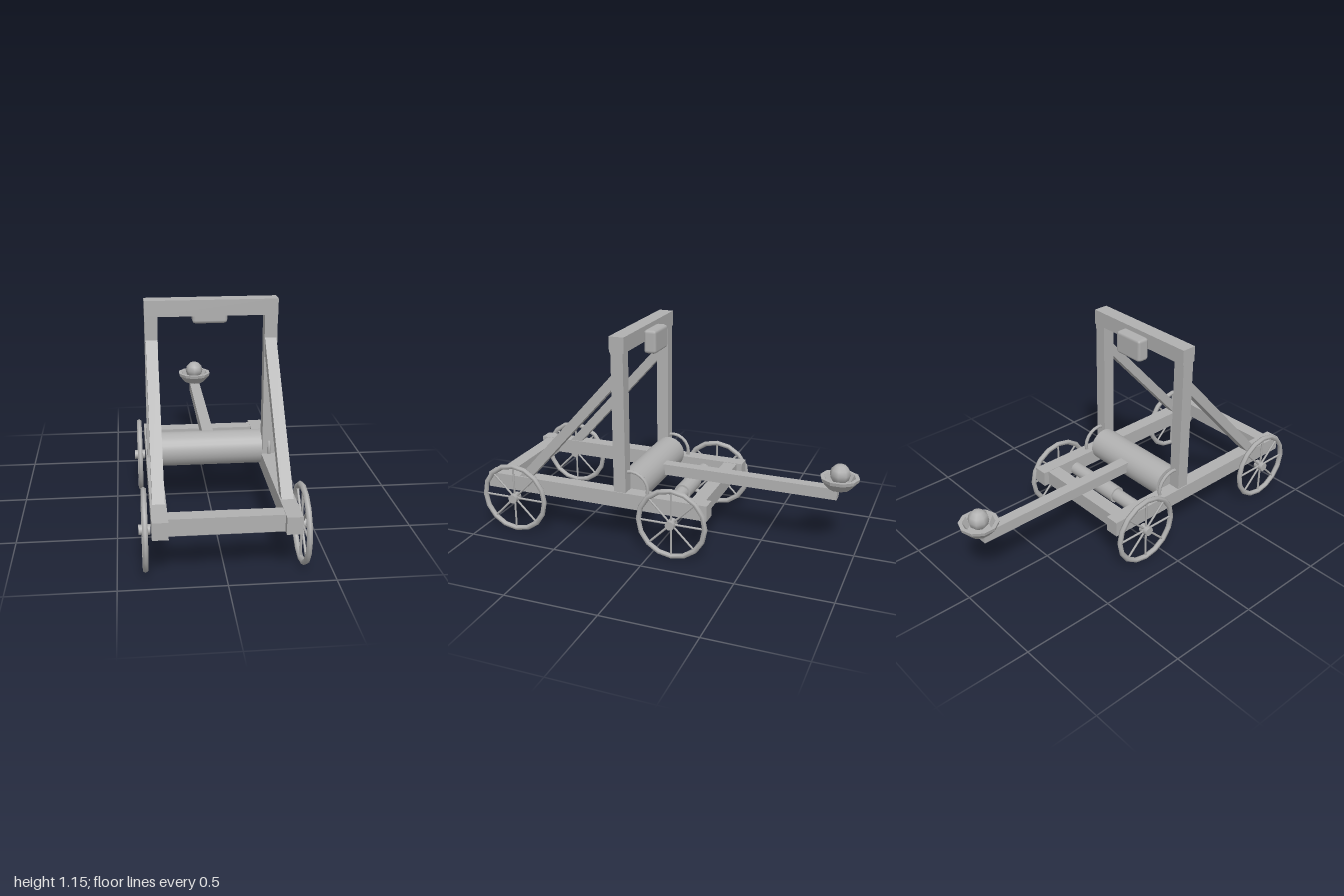
import * as THREE from 'three';
import { RoundedBoxGeometry } from 'three/addons/geometries/RoundedBoxGeometry.js';

export function createModel() {
  const model = new THREE.Group();
  model.name = 'catapult';
  const grey = new THREE.MeshStandardMaterial({ color: 0xb0b0b0 });
  grey.name = 'grey';

  const add = (name, geometry, parent = model, x = 0, y = 0, z = 0) => {
    const mesh = new THREE.Mesh(geometry, grey);
    mesh.name = name;
    mesh.position.set(x, y, z);
    parent.add(mesh);
    return mesh;
  };
  // Box given by its minimum and maximum on each axis
  const beam = (name, x0, x1, y0, y1, z0, z1) =>
    add(name, new THREE.BoxGeometry(x1 - x0, y1 - y0, z1 - z0), model,
      (x0 + x1) / 2, (y0 + y1) / 2, (z0 + z1) / 2);
  // Cylinder lying along x
  const roller = (name, r, length, sides, parent, x, y, z) =>
    add(name, new THREE.CylinderGeometry(r, r, length, sides).rotateZ(Math.PI / 2), parent, x, y, z);

  // Base frame
  beam('frontCrossbeam', -0.268, 0.268, 0.23, 0.313, 0.865, 0.94);
  beam('rearCrossbeam', -0.268, 0.268, 0.23, 0.313, -0.27, -0.195);
  beam('topBeam', -0.336, 0.336, 1.065, 1.147, 0.144, 0.224);

  // Diagonal brace profile, drawn in (-z, y) and extruded along x
  const brace = new THREE.Shape([[-0.79, 0.31], [-0.72, 0.31], [-0.215, 0.873], [-0.215, 0.948]]
    .map(([x, y]) => new THREE.Vector2(x, y)));

  for (const side of [-1, 1]) {
    const label = side > 0 ? 'left' : 'right';
    const span = (a, b) => (side > 0 ? [a, b] : [-b, -a]);
    beam(label + 'Rail', ...span(0.265, 0.34), 0.23, 0.315, -0.3, 0.975);
    beam(label + 'Post', ...span(0.27, 0.335), 0.315, 1.066, 0.15, 0.217);
    add(label + 'Brace',
      new THREE.ExtrudeGeometry(brace, { depth: 0.058, bevelEnabled: false })
        .translate(0, 0, -0.029).rotateY(Math.PI / 2), model, side * 0.301);
    // Ring around the post at the end of the drum
    add(label + 'DrumRing', new THREE.TorusGeometry(0.093, 0.01, 6, 20).rotateY(Math.PI / 2),
      model, side * 0.305, 0.335, 0.13);
  }

  // Drum and winch
  roller('drum', 0.09, 0.536, 24, model, 0, 0.33, 0.14);
  roller('winch', 0.036, 0.536, 16, model, 0, 0.251, -0.073);
  roller('winchSleeve', 0.046, 0.176, 16, model, 0, 0.251, -0.073);

  // Throwing arm, cup and ball
  beam('arm', -0.03, 0.03, 0.315, 0.375, -0.895, 0.1);
  const cup = [[0, 0.375], [0.06, 0.375], [0.098, 0.418], [0.102, 0.436],
    [0.082, 0.436], [0.058, 0.392], [0, 0.392]].map(([x, y]) => new THREE.Vector2(x, y));
  const cupGeometry = new THREE.LatheGeometry(cup, 10).toNonIndexed();
  cupGeometry.computeVertexNormals();
  add('cup', cupGeometry, model, 0, 0, -0.9);
  add('ball', new THREE.SphereGeometry(0.054, 8, 6), model, 0, 0.451, -0.9);

  // Stop pad behind the top beam
  add('stopPad', new RoundedBoxGeometry(0.18, 0.125, 0.07, 1, 0.017), model, 0, 1.068, 0.11);

  // Spoked wheels
  for (const side of [-1, 1]) for (const z of [0.802, -0.118]) {
    const wheel = new THREE.Group();
    wheel.name = (z > 0 ? 'front' : 'rear') + (side > 0 ? 'Left' : 'Right') + 'Wheel';
    wheel.position.set(side * 0.369, 0.199, z);
    model.add(wheel);
    add('rim', new THREE.TorusGeometry(0.183, 0.0145, 6, 16).rotateY(Math.PI / 2), wheel);
    roller('hub', 0.025, 0.056, 10, wheel, 0, 0, 0);
    for (let i = 0; i < 8; i++) {
      add('spoke', new THREE.CylinderGeometry(0.006, 0.006, 0.16, 6)
        .translate(0, 0.095, 0).rotateX(i * Math.PI / 4), wheel);
    }
  }
  return model;
}
